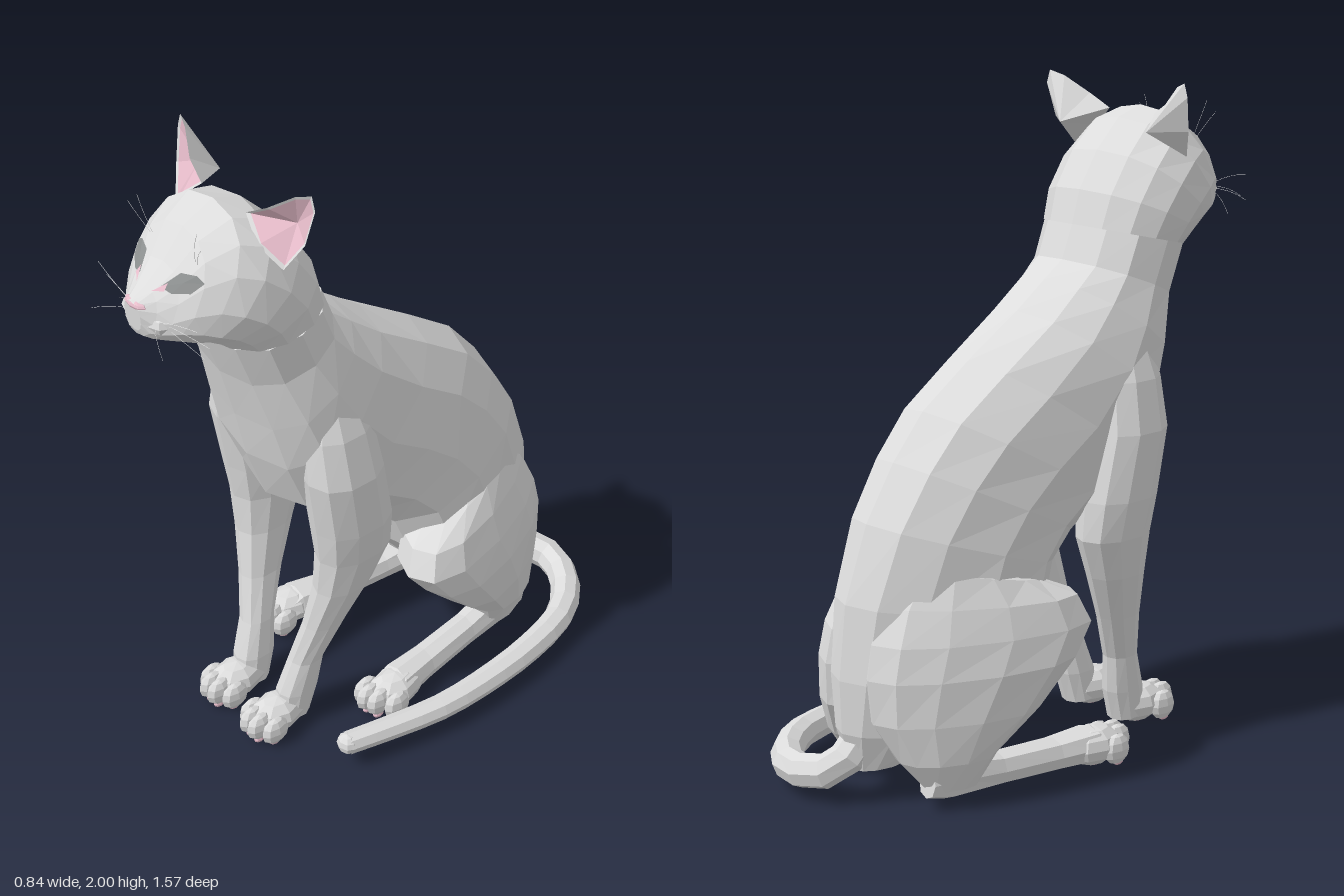
import * as THREE from 'three';

const CX = -0.055; // the body's own centre line
const mat = (name, color) => Object.assign(new THREE.MeshStandardMaterial({ color }), { name });

// Faceted look: every triangle gets its own normal
function flat(geo) {
  const g = geo.index ? geo.toNonIndexed() : geo;
  g.computeVertexNormals();
  return g;
}

function triangles(points, faces) {
  const g = new THREE.BufferGeometry();
  g.setAttribute('position', new THREE.Float32BufferAttribute(points.flat(), 3));
  g.setIndex(faces.flat());
  return flat(g);
}

// Skin over cross-sections; row = [frontZ, frontY, backZ, backY, centreX, halfWidth, pinch, shear]
// pinch narrows the back of a section, shear slides its back sideways
function loft(rows, n = 12, power = 0.88) {
  const pts = [], faces = [];
  const soft = v => Math.sign(v) * Math.abs(v) ** power;
  for (const [fz, fy, bz, by, x, w, pinch = 0, shear = 0] of rows) {
    for (let j = 0; j < n; j++) {
      const a = j / n * Math.PI * 2, c = soft(Math.cos(a)), s = soft(Math.sin(a));
      pts.push([CX + x + s * w * (1 + pinch * c) + shear * c,
        (fy + by) / 2 + c * (fy - by) / 2, (fz + bz) / 2 + c * (fz - bz) / 2]);
    }
  }
  const last = (rows.length - 1) * n;
  for (let i = 0; i < last; i += n) {
    for (let j = 0; j < n; j++) {
      const k = (j + 1) % n;
      faces.push([i + j, i + k, i + n + k], [i + j, i + n + k, i + n + j]);
    }
  }
  for (let j = 1; j < n - 1; j++) faces.push([0, j + 1, j], [last, last + j, last + j + 1]);
  return triangles(pts, faces);
}

export function createModel() {
  const model = new THREE.Group();
  model.name = 'sittingCat';
  const fur = mat('greyFur', 0xdcdcdc), pink = mat('pinkSkin', 0xe6bcca);
  const eyeGrey = mat('eyeGrey', 0x8c8f8f);

  const add = (name, geo, material) => {
    const m = new THREE.Mesh(geo, material);
    m.name = name;
    model.add(m);
    return m;
  };
  const blob = (name, x, y, z, rx, ry, rz, material = fur) =>
    add(name, flat(new THREE.SphereGeometry(1, 8, 6).scale(rx, ry, rz).translate(CX + x, y, z)), material);

  // Torso from rump to neck
  add('torso', loft([
    [-0.50, 0.12, -0.66, 0.10, 0, 0.08, 0.3], [-0.30, 0.20, -0.70, 0.22, 0, 0.17, 0.4],
    [-0.17, 0.36, -0.705, 0.38, 0, 0.23, 0.4], [-0.04, 0.51, -0.68, 0.60, 0, 0.25, 0.33],
    [0.00, 0.62, -0.60, 0.82, 0, 0.25, 0.22], [0.08, 0.69, -0.50, 0.98, 0, 0.25, 0.15],
    [0.21, 0.76, -0.39, 1.11, 0, 0.25, 0.1], [0.33, 0.84, -0.22, 1.23, 0, 0.255, 0.1],
    [0.395, 1.02, -0.03, 1.35, 0, 0.265, 0.12], [0.43, 1.18, 0.08, 1.43, 0, 0.25, 0.1],
    [0.475, 1.35, 0.15, 1.48, 0, 0.225], [0.53, 1.50, 0.19, 1.58, 0, 0.228],
  ]), fur);

  // Head, fanning round from the neck to the muzzle
  const head = add('head', loft([
    [0.53, 1.50, 0.19, 1.58, 0, 0.228], [0.565, 1.53, 0.22, 1.68, 0, 0.242],
    [0.60, 1.55, 0.29, 1.79, 0, 0.244], [0.64, 1.56, 0.38, 1.88, 0, 0.228],
    [0.67, 1.57, 0.47, 1.91, 0, 0.195], [0.70, 1.58, 0.57, 1.865, 0, 0.15],
    [0.725, 1.59, 0.64, 1.785, 0, 0.106], [0.74, 1.60, 0.70, 1.735, 0, 0.068],
    [0.745, 1.615, 0.75, 1.705, 0, 0.036],
  ], 14), fur);

  // Thin patch laid on the head; outline in x, y around its middle
  const ray = new THREE.Raycaster();
  const patch = (name, x, y, outline, material, lift) => {
    const pts = [[0, 0], ...outline].map(([dx, dy]) => {
      ray.set(new THREE.Vector3(CX + x + dx, y + dy, 2), new THREE.Vector3(0, 0, -1));
      return [CX + x + dx, y + dy, ray.intersectObject(head)[0].point.z + lift];
    });
    const n = outline.length;
    add(name, triangles(pts, outline.map((_, i) => [0, i + 1, (i + 1) % n + 1])), material);
  };

  blob('nose', 0, 1.695, 0.735, 0.044, 0.014, 0.02, pink);

  for (const s of [1, -1]) {
    const side = s > 0 ? 'left' : 'right';
    const flip = list => (s > 0 ? list : list.map(([x, y]) => [-x, y]).reverse());

    // Muzzle pad, eye and its inner corner
    blob(side + 'MuzzlePad', s * 0.042, 1.643, 0.685, 0.06, 0.038, 0.055);
    patch(side + 'Eye', s * 0.095, 1.765, flip([[-0.05, -0.02], [-0.015, -0.028], [0.03, -0.02],
      [0.05, 0.008], [0.025, 0.022], [-0.02, 0.018]]), eyeGrey, 0.006);
    patch(side + 'EyeCorner', s * 0.047, 1.745, flip([[-0.015, -0.011], [0.016, -0.005], [0.012, 0.012]]), pink, 0.009);

    // Ear: rim, hollow pink inside and furry back
    const P = ([x, y, z]) => [CX + s * x, y, z];
    const rim = [[0.095, 1.895, 0.435], [0.165, 1.835, 0.455], [0.235, 1.78, 0.425], [0.278, 1.86, 0.385],
      [0.293, 1.96, 0.362], [0.28, 2.0, 0.362], [0.235, 1.985, 0.38], [0.165, 1.935, 0.42]];
    const hollow = [0.21, 1.885, 0.355], back = [0.18, 1.855, 0.31];
    const inner = rim.map(p => p.map((v, i) => v + (hollow[i] - v) * 0.1));
    const n = rim.length, wind = f => (s > 0 ? f : [f[0], f[2], f[1]]);
    const shell = [], lining = [];
    for (let i = 0; i < n; i++) {
      const k = (i + 1) % n;
      shell.push(wind([i, k, n + k]), wind([i, n + k, n + i]), wind([2 * n, k, i]));
      lining.push(wind([n, i, k]));
    }
    add(side + 'Ear', triangles([...rim, ...inner, back].map(P), shell), fur);
    add(side + 'EarLining', triangles([...inner, hollow].map(P), lining), pink);

    // Whiskers and brow hairs
    for (const [x0, y0, z0, x1, y1, z1] of [
      [0.08, 1.66, 0.71, 0.22, 1.70, 0.70], [0.085, 1.65, 0.70, 0.23, 1.64, 0.67],
      [0.085, 1.64, 0.70, 0.19, 1.58, 0.66], [0.06, 1.64, 0.72, 0.16, 1.61, 0.77],
      [0.09, 1.80, 0.60, 0.13, 1.92, 0.62], [0.10, 1.80, 0.60, 0.16, 1.89, 0.63],
    ]) {
      const mid = P([(x0 + x1) / 2, (y0 + y1) / 2 + 0.015, (z0 + z1) / 2 + 0.01]);
      const hair = new THREE.QuadraticBezierCurve3(...[P([x0, y0, z0]), mid, P([x1, y1, z1])]
        .map(p => new THREE.Vector3(...p)));
      add(side + 'Whisker', flat(new THREE.TubeGeometry(hair, 4, 0.0006, 3)), fur);
    }

    // Front leg from ankle to shoulder
    add(side + 'FrontLeg', loft([
      [0.39, 0.04, 0.28, 0.03, s * 0.102, 0.05], [0.385, 0.13, 0.25, 0.13, s * 0.108, 0.052],
      [0.345, 0.25, 0.235, 0.25, s * 0.122, 0.047], [0.315, 0.40, 0.17, 0.40, s * 0.158, 0.052],
      [0.295, 0.55, 0.10, 0.55, s * 0.19, 0.068], [0.295, 0.68, 0.045, 0.68, s * 0.205, 0.083],
      [0.31, 0.80, 0.05, 0.80, s * 0.21, 0.098], [0.34, 1.00, 0.09, 1.00, s * 0.215, 0.102],
      [0.335, 1.15, 0.11, 1.15, s * 0.19, 0.095], [0.29, 1.34, 0.17, 1.34, s * 0.14, 0.07],
    ], 10), fur);

    // Haunch, closing in behind towards the rump
    add(side + 'Haunch', loft([
      [-0.38, 0.06, -0.54, 0.06, s * 0.19, 0.06, 0.1, s * 0.01],
      [-0.33, 0.15, -0.61, 0.15, s * 0.18, 0.10, 0.1, s * 0.03],
      [-0.20, 0.27, -0.67, 0.27, s * 0.175, 0.132, 0.12, s * 0.07],
      [-0.075, 0.40, -0.68, 0.40, s * 0.18, 0.145, 0.12, s * 0.085],
      [-0.005, 0.49, -0.66, 0.50, s * 0.175, 0.145, 0.1, s * 0.085],
      [-0.04, 0.57, -0.61, 0.60, s * 0.16, 0.132, 0.1, s * 0.08],
      [-0.15, 0.62, -0.53, 0.70, s * 0.135, 0.11, 0.1, s * 0.05],
      [-0.27, 0.66, -0.45, 0.76, s * 0.12, 0.06, 0.1, s * 0.02],
    ]), fur);

    // Hind foot lying along the ground
    add(side + 'HindFoot', loft([
      [-0.55, 0.04, -0.54, 0.13, s * 0.19, 0.035], [-0.48, 0.02, -0.46, 0.15, s * 0.19, 0.052],
      [-0.30, 0.02, -0.30, 0.12, s * 0.21, 0.048], [-0.10, 0.015, -0.10, 0.115, s * 0.235, 0.052],
      [0.04, 0.01, 0.03, 0.125, s * 0.255, 0.062], [0.10, 0.015, 0.08, 0.10, s * 0.255, 0.058],
    ], 8), fur);

    // Paws with four toes and pads; the hind paws turn their outer toes back
    for (const [name, x, z, turn] of [['FrontPaw', 0.102, 0.39, 0], ['HindPaw', 0.26, 0.045, 0.25]]) {
      blob(side + name, s * x, 0.062, z, 0.068, 0.06, 0.10);
      blob(side + name + 'Pad', s * x, 0.02, z - 0.01, 0.036, 0.02, 0.035, pink);
      for (let t = 0; t < 4; t++) {
        const u = t - 1.5, outer = Math.abs(u) > 1, dx = u * 0.038;
        const tx = s * (x + dx), tz = z + (outer ? 0.055 : 0.085) - turn * dx;
        blob(side + name + 'Toe', tx, outer ? 0.052 : 0.062, tz, 0.025, 0.047, 0.05);
        blob(side + name + 'ToePad', tx, 0.014, tz + 0.005, 0.013, 0.014, 0.02, pink);
      }
    }
  }

  // Tail curling round the left side, tapering to a round tip
  const path = new THREE.CatmullRomCurve3([
    [-0.055, 0.20, -0.62], [-0.03, 0.11, -0.70], [0.09, 0.08, -0.75], [0.21, 0.075, -0.70], [0.31, 0.075, -0.58],
    [0.36, 0.075, -0.40], [0.38, 0.075, -0.20], [0.38, 0.078, 0.0], [0.35, 0.083, 0.18], [0.317, 0.088, 0.335],
  ].map(p => new THREE.Vector3(...p)));
  const segs = 18, sides = 8, tail = new THREE.TubeGeometry(path, segs, 1, sides);
  const pos = tail.attributes.position, v = new THREE.Vector3();
  for (let i = 0; i < pos.count; i++) {
    const t = Math.floor(i / (sides + 1)) / segs, c = path.getPointAt(t);
    v.fromBufferAttribute(pos, i).sub(c).multiplyScalar(0.054 - 0.018 * t).add(c);
    pos.setXYZ(i, v.x, v.y, v.z);
  }
  add('tail', flat(tail), fur);
  blob('tailTip', 0.317 - CX, 0.088, 0.335, 0.036, 0.036, 0.03);

  return model;
}
